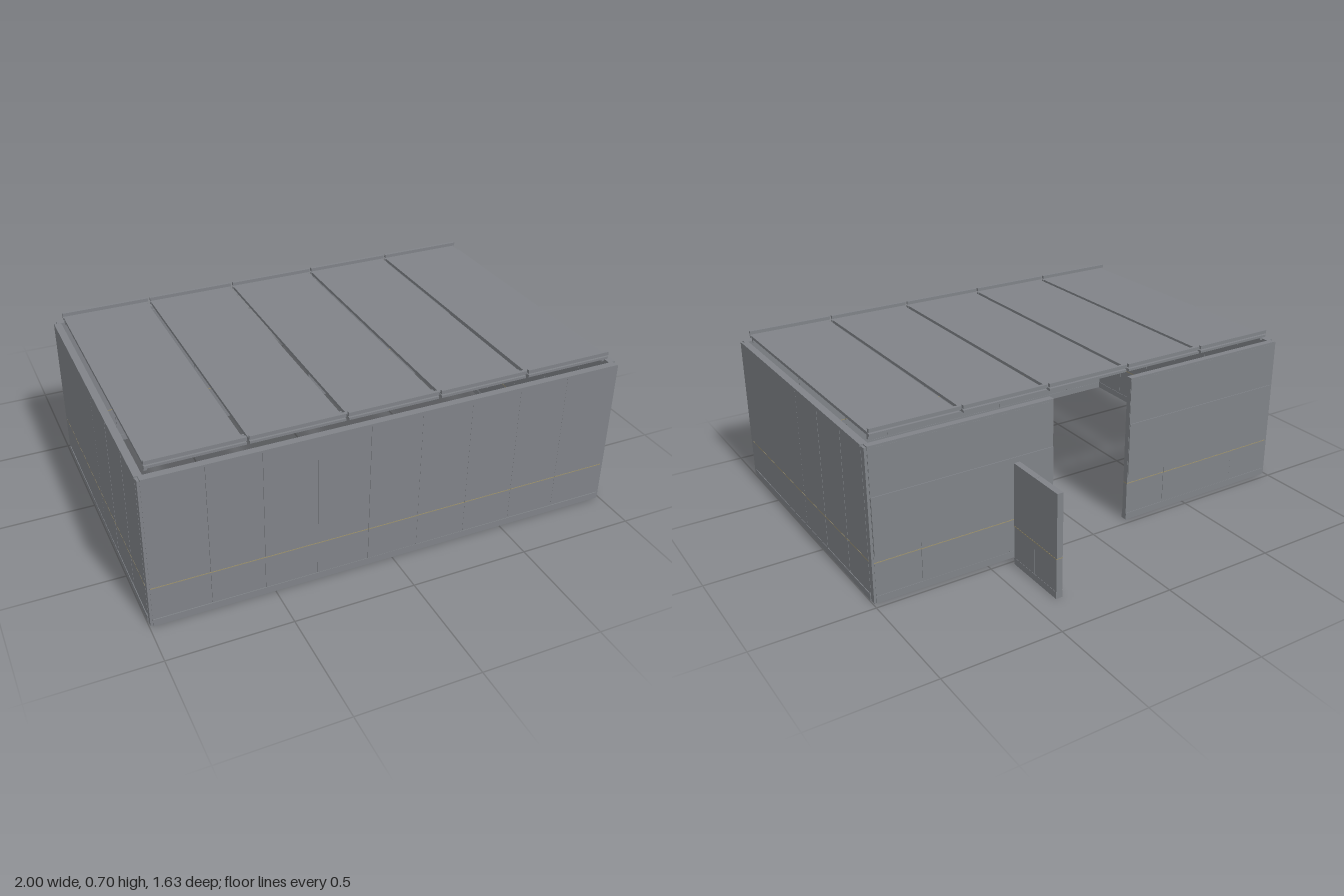
import * as THREE from 'three';

export function createModel() {
  const model = new THREE.Group();
  model.name = 'panelPavilion';
  const grey = new THREE.MeshStandardMaterial({ color: 0x808388 });
  grey.name = 'grey metal';
  const beige = new THREE.MeshStandardMaterial({ color: 0x9c9270 });
  beige.name = 'beige seam';

  // Box given by its lower and upper limits on each axis
  const box = (parent, name, [x0, x1], [y0, y1], [z0, z1], material = grey) => {
    const mesh = new THREE.Mesh(new THREE.BoxGeometry(x1 - x0, y1 - y0, z1 - z0), material);
    mesh.position.set((x0 + x1) / 2, (y0 + y1) / 2, (z0 + z1) / 2);
    mesh.name = name;
    parent.add(mesh);
    return mesh;
  };
  const group = (name, parent = model) => {
    const g = new THREE.Group();
    g.name = name;
    parent.add(g);
    return g;
  };

  // Wall lying along local x, outside facing local +z, made of slightly stepped panels
  const TOP = 0.655;
  const makeWall = (name, cuts, thickness) => {
    const wall = group(name);
    const start = cuts[0], end = cuts[cuts.length - 1];
    const middle = (start + end) / 2;
    box(wall, 'baseRail', [start, end], [0, 0.03], [0, thickness]);
    box(wall, 'topRail', [start, end], [0.645, TOP], [0, thickness]);
    for (let i = 0; i < cuts.length - 1; i++) {
      const a = cuts[i], b = cuts[i + 1];
      const depth = thickness - 0.001 - 0.003 * Math.abs((a + b) / 2 - middle);
      box(wall, 'wallPanel', [a, b - 0.001], [0.03, 0.645], [0.002, depth]);
      box(wall, 'beltSeam', [a, b - 0.001], [0.172, 0.176], [0.0015, depth + 0.0005], beige);
    }
    return wall;
  };

  // Front wall: nine panels
  const frontCuts = [-0.985];
  for (let i = -3; i <= 4; i++) frontCuts.push((i - 0.5) * 0.215);
  frontCuts.push(0.985);
  makeWall('frontWall', frontCuts, 0.03).position.z = 0.785;

  // Side walls and corner posts
  for (const s of [-1, 1]) {
    const side = makeWall(s > 0 ? 'leftWall' : 'rightWall',
      [-0.615, -0.43, -0.215, 0, 0.215, 0.43, 0.615], 0.03);
    side.rotation.y = s * Math.PI / 2;
    side.position.set(s * 0.968, 0, 0.17);
    const x = s > 0 ? [0.985, 0.995] : [-0.995, -0.985];
    box(model, 'frontCornerPost', x, [0, 0.65], [0.785, 0.81]);
    box(model, 'backCornerPost', x, [0, 0.65], [-0.471, -0.445]);
  }

  // Back walls on both sides of the opening, with a raised middle sheet
  for (const s of [-1, 1]) {
    const back = makeWall(s > 0 ? 'backWallLeft' : 'backWallRight',
      [-0.3975, -0.2, 0.19, 0.3975], 0.028);
    back.rotation.y = Math.PI;
    back.position.set(s * 0.5875, 0, -0.446);
    box(back, 'middleSheet', [-0.3965, 0.3965], [0.205, 0.45], [0.02, 0.032]);
    box(back, 'upperSheet', [-0.3965, 0.3965], [0.45, 0.645], [0.02, 0.0285]);
  }

  // Roof: five sheets with raised end lips and small feet
  const roof = group('roof');
  for (let i = -2; i <= 2; i++) {
    const cx = i * 0.386;
    const sheet = group('roofSheet', roof);
    box(sheet, 'sheet', [cx - 0.184, cx + 0.184], [0.671, 0.684], [-0.43, 0.77]);
    for (const [z0, z1] of [[-0.443, -0.43], [0.77, 0.783]]) {
      box(sheet, 'endFlange', [cx - 0.187, cx + 0.187], [0.674, 0.684], [z0, z1]);
      box(sheet, 'endLip', [cx - 0.188, cx + 0.188], [0.69, 0.705], [z0, z1]);
    }
  }
  for (const x of [-0.579, -0.193, 0.193, 0.579])
    for (const z of [-0.38, 0.713])
      box(roof, 'jointClip', [x - 0.02, x + 0.02], [0.666, 0.671], [z - 0.004, z + 0.004]);
  for (const x of [-0.95, 0.95])
    for (const z of [-0.42, 0.76])
      box(roof, 'roofFoot', [x - 0.006, x + 0.006], [TOP, 0.671], [z - 0.006, z + 0.006]);

  // Free-standing partition behind the opening
  const partition = group('partition');
  box(partition, 'partitionBase', [0.373, 0.402], [0, 0.03], [-0.815, -0.517]);
  for (const [z0, z1] of [[-0.815, -0.667], [-0.665, -0.517]])
    box(partition, 'partitionPanel', [0.374, 0.401], [0.03, 0.45], [z0, z1]);
  box(partition, 'partitionCore', [0.376, 0.399], [0.03, 0.449], [-0.667, -0.665]);
  box(partition, 'partitionSeam', [0.3735, 0.4015], [0.172, 0.176], [-0.815, -0.517], beige);

  return model;
}
